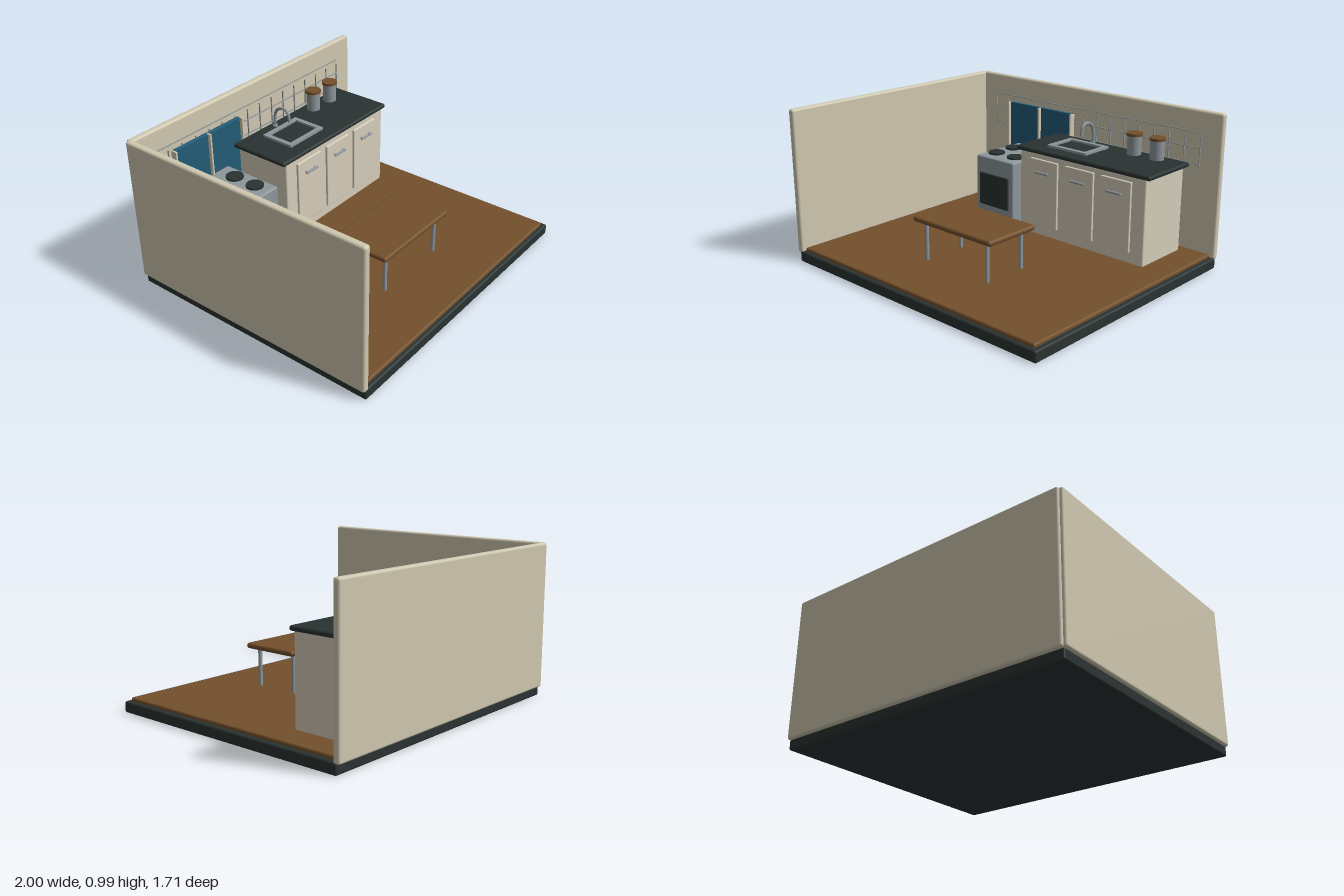
import * as THREE from 'three';
import { RoundedBoxGeometry } from 'three/addons/geometries/RoundedBoxGeometry.js';

const flat = (name, color) => {
  const m = new THREE.MeshStandardMaterial({ color });
  m.name = name;
  return m;
};

export function createModel() {
  const room = new THREE.Group();
  room.name = 'kitchenRoom';

  const cream = flat('wallCream', 0xcfc8b0);
  const ivory = flat('cabinetIvory', 0xd6cebb);
  const wood = flat('wood', 0x74502c);
  const dark = flat('darkStone', 0x2a3332);
  const steel = flat('steel', 0x8d979b);
  const blue = flat('windowBlue', 0x235c77);

  const add = (name, geometry, material, x = 0, y = 0, z = 0, parent = room) => {
    const mesh = new THREE.Mesh(geometry, material);
    mesh.name = name;
    mesh.position.set(x, y, z);
    parent.add(mesh);
    return mesh;
  };
  // Box given by its extents along each axis, with softly rounded edges
  const block = (name, material, [x0, x1], [y0, y1], [z0, z1], r = 0.01, parent = room) => {
    const w = x1 - x0, h = y1 - y0, d = z1 - z0;
    const radius = Math.min(r, Math.min(w, h, d) * 0.45);
    const geometry = radius > 0.002
      ? new RoundedBoxGeometry(w, h, d, 3, radius)
      : new THREE.BoxGeometry(w, h, d);
    return add(name, geometry, material, (x0 + x1) / 2, (y0 + y1) / 2, (z0 + z1) / 2, parent);
  };
  const disc = (name, material, r, y0, y1, x, z, parent = room) =>
    add(name, new THREE.CylinderGeometry(r, r, y1 - y0, 32), material, x, (y0 + y1) / 2, z, parent);
  const group = (name) => {
    const g = new THREE.Group();
    g.name = name;
    room.add(g);
    return g;
  };

  // Room shell
  block('base', dark, [-0.98, 1], [0, 0.07], [-0.835, 0.855], 0.012);
  block('floor', wood, [-0.955, 0.97], [0.06, 0.092], [-0.815, 0.83], 0.012);
  block('backWall', cream, [-0.98, 1], [0.06, 0.985], [-0.857, -0.812], 0.015);
  block('sideWall', cream, [-1, -0.955], [0.06, 0.985], [-0.84, 0.857], 0.015);

  // Window with three upright bars
  const win = group('window');
  block('windowPane', blue, [-0.69, -0.13], [0.41, 0.806], [-0.813, -0.79], 0.003, win);
  for (const x of [-0.695, -0.413, -0.132])
    block('windowBar', cream, [x - 0.007, x + 0.007], [0.41, 0.806], [-0.81, -0.768], 0.003, win);

  // Tile joints on the back wall
  const tiles = group('tileJoints');
  for (const y of [0.648, 0.75, 0.848])
    block('rowJoint', steel, [-0.84, 0.857], [y - 0.002, y + 0.002], [-0.813, -0.804], 0, tiles);
  for (let i = 0; i <= 15; i++) {
    const x = -0.838 + i * 0.113;
    block('uprightJoint', steel, [x - 0.002, x + 0.002], [0.626, 0.82], [-0.813, -0.804], 0, tiles);
  }

  // Cabinet with counter, doors and handles
  const cabinet = group('cabinet');
  block('cabinetBody', ivory, [-0.2, 0.785], [0.085, 0.64], [-0.75, -0.355], 0.01, cabinet);
  block('counterTop', dark, [-0.23, 0.815], [0.635, 0.665], [-0.768, -0.345], 0.013, cabinet);
  for (const x of [0.008, 0.293, 0.575]) {
    block('cabinetDoor', ivory, [x - 0.113, x + 0.113], [0.157, 0.605], [-0.36, -0.34], 0.006, cabinet);
    const bar = add('doorHandle', new THREE.CapsuleGeometry(0.008, 0.1, 6, 12), steel, x, 0.523, -0.323, cabinet);
    bar.rotation.z = Math.PI / 2;
    for (const s of [-0.04, 0.04])
      block('handlePost', steel, [x + s - 0.004, x + s + 0.004], [0.519, 0.527], [-0.342, -0.323], 0, cabinet);
  }

  // Sink rim, basin and tap
  const sink = group('sink');
  const rim = new THREE.Shape();
  rim.moveTo(-0.157, -0.118).lineTo(0.157, -0.118).lineTo(0.157, 0.118).lineTo(-0.157, 0.118).closePath();
  const hole = new THREE.Path();
  hole.moveTo(-0.127, -0.088).lineTo(-0.127, 0.088).lineTo(0.127, 0.088).lineTo(0.127, -0.088).closePath();
  rim.holes.push(hole);
  const rimGeometry = new THREE.ExtrudeGeometry(rim, { depth: 0.016, bevelEnabled: false });
  rimGeometry.rotateX(-Math.PI / 2);
  add('sinkRim', rimGeometry, steel, 0.108, 0.664, -0.561, sink);
  block('sinkBasin', dark, [-0.017, 0.233], [0.662, 0.669], [-0.647, -0.475], 0, sink);
  const tapPath = new THREE.CatmullRomCurve3([
    [0.665, -0.718], [0.74, -0.716], [0.79, -0.695], [0.813, -0.645],
    [0.795, -0.605], [0.735, -0.593],
  ].map(([y, z]) => new THREE.Vector3(0.11, y, z)));
  add('tap', new THREE.TubeGeometry(tapPath, 32, 0.01, 12), steel, 0, 0, 0, sink);
  const tip = add('tapTip', new THREE.CircleGeometry(0.01, 12), dark, 0.11, 0.735, -0.593, sink);
  tip.rotation.x = Math.PI / 2;
  disc('tapFoot', steel, 0.016, 0.664, 0.676, 0.11, -0.718, sink);

  // Storage jars with wooden lids
  for (const x of [0.459, 0.63]) {
    const jar = group('jar');
    disc('jarBody', steel, 0.045, 0.664, 0.79, x, -0.685, jar);
    disc('jarLid', wood, 0.051, 0.787, 0.805, x, -0.685, jar);
  }

  // Stove with four burners and an oven door
  const stove = group('stove');
  block('stoveBody', steel, [-0.61, -0.275], [0.085, 0.523], [-0.785, -0.36], 0.012, stove);
  block('ovenDoor', dark, [-0.57, -0.314], [0.185, 0.41], [-0.368, -0.348], 0.006, stove);
  for (const x of [-0.53, -0.358])
    for (const z of [-0.645, -0.475])
      disc('burner', dark, 0.056, 0.518, 0.536, x, z, stove);

  // Low table
  const table = group('table');
  block('tableTop', wood, [-0.317, 0.333], [0.337, 0.372], [0.098, 0.49], 0.016, table);
  for (const x of [-0.247, 0.262])
    for (const z of [0.152, 0.438])
      disc('tableLeg', steel, 0.013, 0.085, 0.342, x, z, table);

  return room;
}
